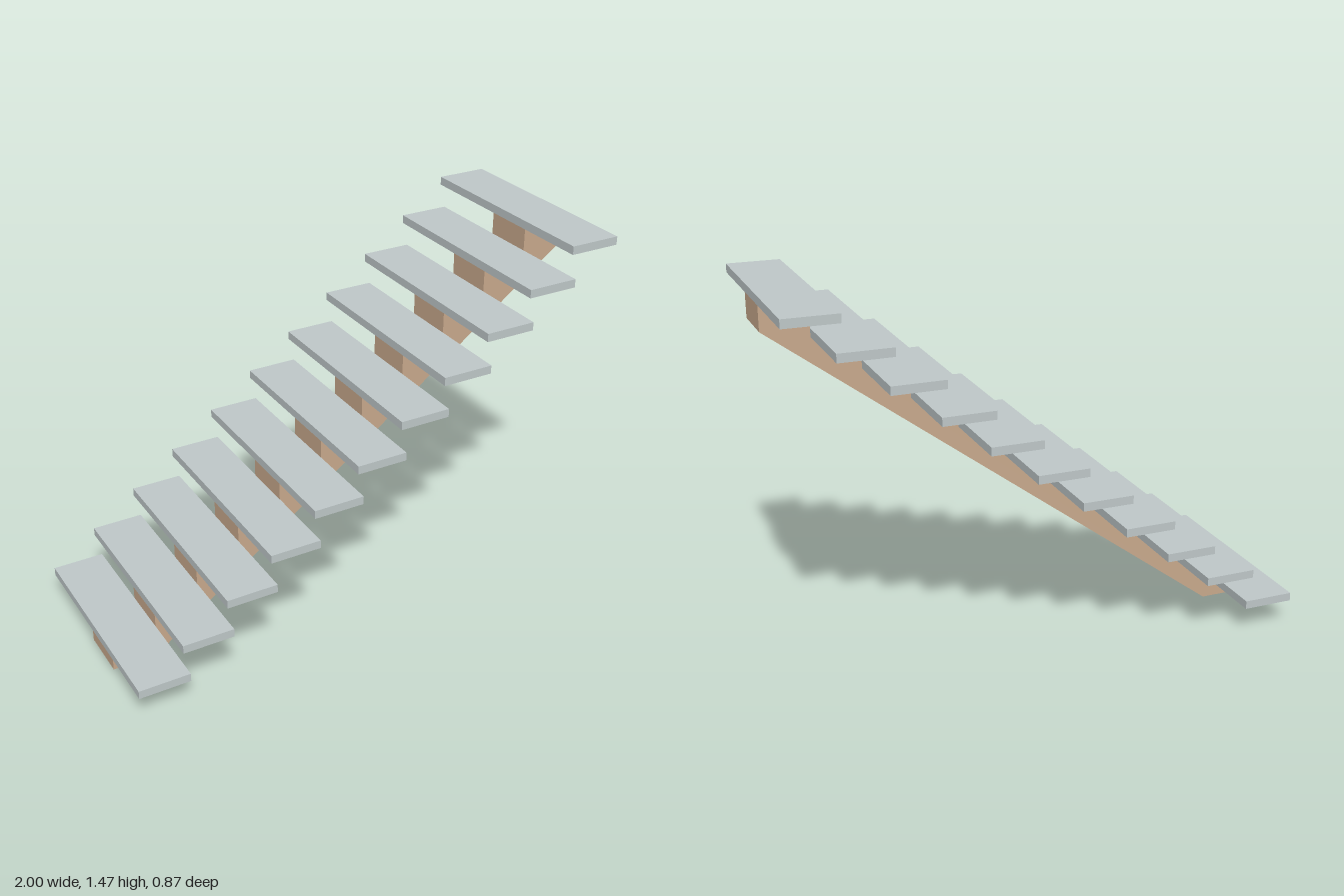
import * as THREE from 'three';

export function createModel() {
  const model = new THREE.Group();
  model.name = 'staircase';

  const wood = new THREE.MeshStandardMaterial({ color: 0xc8a98c });
  wood.name = 'tan wood';
  const stone = new THREE.MeshStandardMaterial({ color: 0xbec7c8 });
  stone.name = 'pale grey';

  const steps = 11;
  const run = 0.1797, rise = 0.1334;
  const treadDepth = 0.203, treadThick = 0.033, treadWidth = 0.868;
  const firstTop = 0.103; // underside of the lowest tread
  const firstRiser = -0.977;

  // Sawtooth central beam, sloping underneath
  const profile = new THREE.Shape();
  profile.moveTo(firstRiser, 0);
  profile.lineTo(-0.8, 0);
  profile.lineTo(0.998, 1.34);
  for (let i = steps - 1; i >= 0; i--) {
    const y = firstTop + i * rise;
    const back = i === steps - 1 ? 0.998 : firstRiser + (i + 1) * run;
    profile.lineTo(back, y);
    profile.lineTo(firstRiser + i * run, y);
  }
  const beamGeometry = new THREE.ExtrudeGeometry(profile, { depth: 0.206, bevelEnabled: false });
  beamGeometry.translate(0, 0, -0.091);
  const beam = new THREE.Mesh(beamGeometry, wood);
  beam.name = 'centralBeam';
  model.add(beam);

  // Slab treads, each overhanging its riser slightly
  const treadGeometry = new THREE.BoxGeometry(treadDepth, treadThick, treadWidth);
  for (let i = 0; i < steps; i++) {
    const tread = new THREE.Mesh(treadGeometry, stone);
    tread.name = `tread${i + 1}`;
    tread.position.set(-1 + treadDepth / 2 + i * run, firstTop + i * rise + treadThick / 2, 0);
    model.add(tread);
  }

  return model;
}
